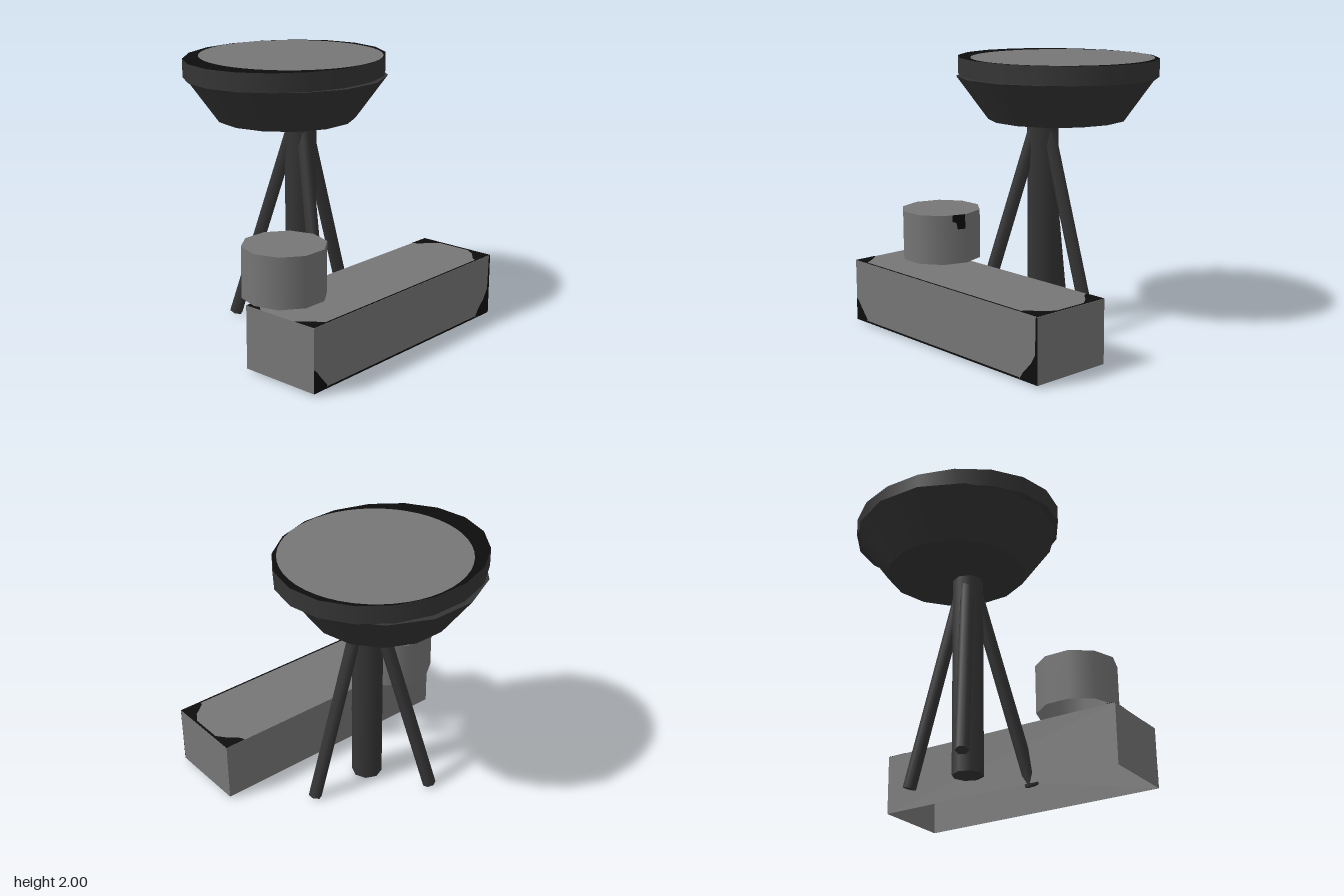
import * as THREE from 'three';

const paint = (name, color, side = THREE.FrontSide) => {
  const m = new THREE.MeshStandardMaterial({ color, side });
  m.name = name;
  return m;
};

export function createModel() {
  const model = new THREE.Group();
  model.name = 'pedestalAndPlanter';
  const grey = paint('stoneGrey', 0x767676, THREE.DoubleSide);
  const charcoal = paint('charcoal', 0x353535);
  const black = paint('black', 0x0d0d0d, THREE.DoubleSide);

  const add = (name, geometry, material, x = 0, y = 0, z = 0) => {
    const mesh = new THREE.Mesh(geometry, material);
    mesh.name = name;
    mesh.position.set(x, y, z);
    model.add(mesh);
    return mesh;
  };
  // cylinder between two heights, with a corner pointing along +x
  const drum = (rTop, rBottom, y0, y1, sides, open = false) =>
    new THREE.CylinderGeometry(rTop, rBottom, y1 - y0, sides, 1, open)
      .rotateY(Math.PI / 2).translate(0, (y0 + y1) / 2, 0);

  // Bowl and oval rim
  add('bowl', drum(0.745, 0.513, 1.545, 1.865, 14), charcoal, -0.02, 0, -0.218);
  add('rim', drum(1, 1, 1.865, 2, 18).scale(0.787, 1, 0.696), [charcoal, black, charcoal], -0.02, 0, -0.218);
  add('rimTop', new THREE.CircleGeometry(1, 48).scale(0.675, 0.675, 1).rotateX(-Math.PI / 2),
    grey, 0.035, 2.001, -0.216);

  // Column and three splayed legs
  const cx = -0.02, cz = -0.07;
  add('column', drum(0.115, 0.115, 0.015, 1.545, 8), charcoal, cx, 0, cz);
  const up = new THREE.Vector3(0, 1, 0);
  for (let i = 0; i < 3; i++) {
    const holder = new THREE.Group();
    holder.name = 'leg' + (i + 1);
    const foot = new THREE.Vector3(0.51, 0.015, 0);
    const head = new THREE.Vector3(0.045, 1.53, 0);
    const axis = head.clone().sub(foot);
    const leg = new THREE.Mesh(new THREE.CylinderGeometry(0.05, 0.05, axis.length(), 6), charcoal);
    leg.name = 'legPost';
    leg.position.copy(foot).add(head).multiplyScalar(0.5);
    leg.quaternion.setFromUnitVectors(up, axis.normalize());
    holder.add(leg);
    holder.position.set(cx, 0, cz);
    holder.rotation.y = i * Math.PI * 2 / 3;
    model.add(holder);
  }

  // Long box, open underneath
  const box = new THREE.BoxGeometry(1.99, 0.46, 0.615);
  const faces = Array.from(box.index.array);
  faces.splice(18, 6); // drop the bottom face
  box.setIndex(faces);
  box.clearGroups();
  add('longBox', box, grey, 0, 0.25, 0.6325);

  // Drum standing on the box, open underneath
  add('drumWall', drum(0.3, 0.3, 0.48, 0.85, 10, true), grey, -0.67, 0, 0.375);
  add('drumLid', new THREE.CircleGeometry(0.3, 10).rotateX(-Math.PI / 2), grey, -0.67, 0.85, 0.375);

  // Worn black patches: flat outlines laid on the faces
  const patch = (points) => new THREE.ShapeGeometry(
    new THREE.Shape(points.map(([x, y]) => new THREE.Vector2(x, y))));
  const frontPatches = [
    [[-0.995, 0.02], [-0.86, 0.02], [-0.87, 0.05], [-0.93, 0.12], [-0.97, 0.17], [-0.995, 0.19]],
    [[0.995, 0.02], [0.995, 0.48], [0.98, 0.48], [0.972, 0.22], [0.93, 0.15], [0.86, 0.08], [0.82, 0.02]],
    [[-0.86, 0.02], [0.82, 0.02], [0.82, 0.034], [-0.86, 0.034]],
  ];
  frontPatches.forEach((p) => add('frontWear', patch(p), black, 0, 0, 0.942));

  const topPatches = [ // x, z
    [[-0.995, 0.325], [-0.925, 0.325], [-0.96, 0.42], [-0.995, 0.46]],
    [[-0.995, 0.76], [-0.93, 0.83], [-0.87, 0.92], [-0.87, 0.94], [-0.995, 0.94]],
    [[0.83, 0.325], [0.995, 0.325], [0.995, 0.94], [0.82, 0.94], [0.83, 0.9],
      [0.93, 0.82], [0.975, 0.75], [0.975, 0.5], [0.92, 0.43], [0.85, 0.37]],
    [[-0.87, 0.925], [0.82, 0.925], [0.82, 0.94], [-0.87, 0.94]],
  ];
  topPatches.forEach((p) => add('topWear',
    patch(p.map(([x, z]) => [x, -z])).rotateX(-Math.PI / 2), black, 0, 0.482, 0));

  // Small patch on one drum facet
  const chip = patch([[0.08, 0.85], [-0.02, 0.85], [-0.02, 0.8], [0.01, 0.79], [0.02, 0.74], [0.08, 0.74]]);
  chip.translate(0, 0, 0.287).rotateY(Math.PI / 2 - Math.PI / 10);
  add('drumWear', chip, black, -0.67, 0, 0.375);

  return model;
}
